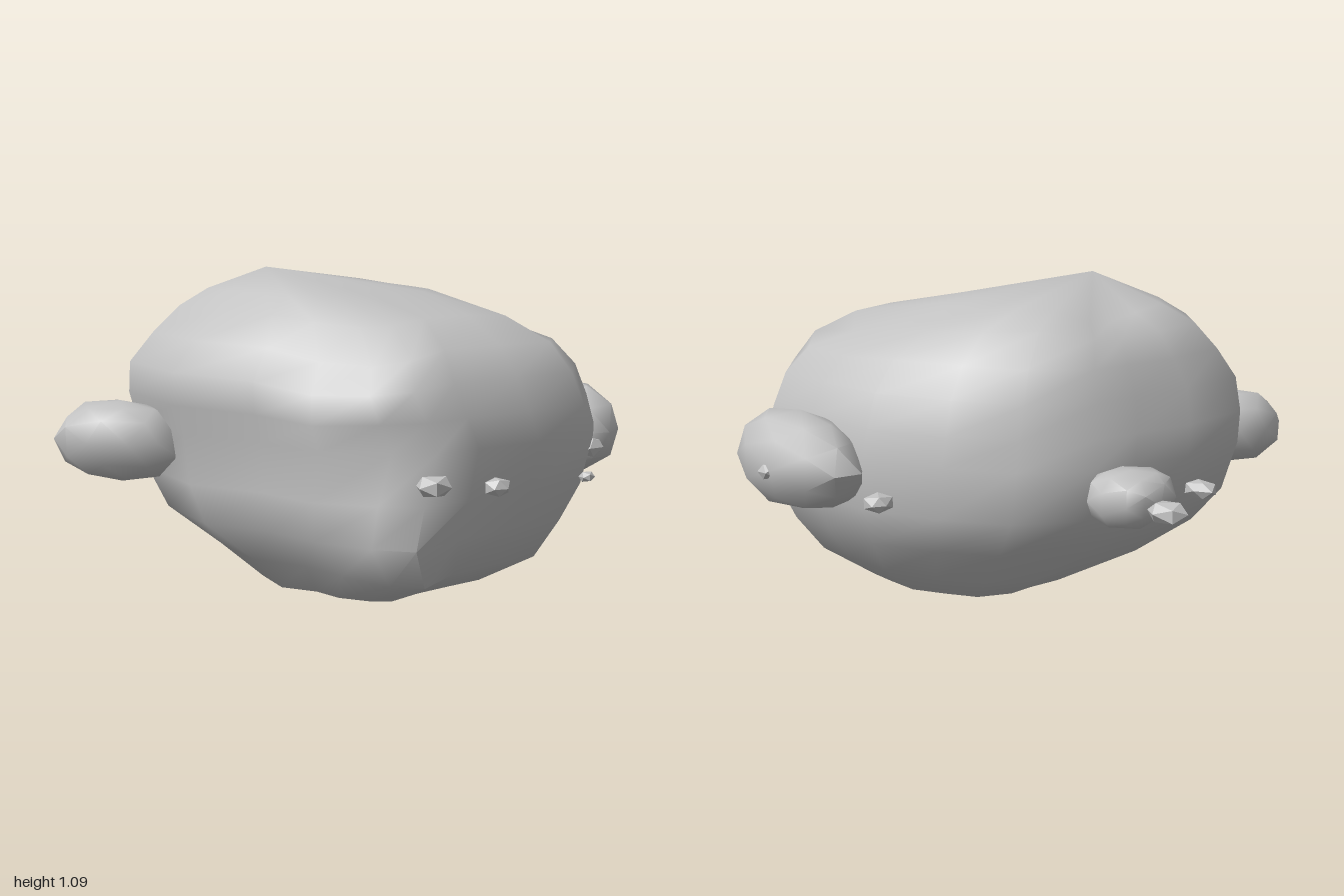
import * as THREE from 'three';
import { mergeVertices, toCreasedNormals } from 'three/addons/utils/BufferGeometryUtils.js';

const stone = new THREE.MeshStandardMaterial({ color: 0xc2c2c2 });
stone.name = 'grey stone';

// plan outline of the main rock as [x, z]
const OUTLINE = [
  [-0.58, -0.68], [-0.36, -0.83], [-0.08, -0.78], [0.12, -0.69], [0.29, -0.64], [0.46, -0.46],
  [0.52, -0.2], [0.57, 0.08], [0.52, 0.35], [0.47, 0.57], [0.24, 0.72], [0, 0.67],
  [-0.25, 0.61], [-0.46, 0.58], [-0.56, 0.46], [-0.64, 0.25], [-0.63, 0], [-0.7, -0.3],
];
// levels: y, min x, max x, min z, max z
const LEVELS = [
  [0.02, -0.42, 0.29, -0.3, 0.36], [0.12, -0.49, 0.41, -0.49, 0.54], [0.25, -0.62, 0.52, -0.67, 0.61],
  [0.38, -0.64, 0.57, -0.78, 0.67], [0.55, -0.65, 0.57, -0.83, 0.72], [0.65, -0.69, 0.55, -0.82, 0.7],
  [0.76, -0.7, 0.51, -0.79, 0.67], [0.86, -0.61, 0.44, -0.74, 0.6], [0.95, -0.5, 0.34, -0.68, 0.45],
  [1.01, -0.41, 0.22, -0.57, 0.14],
];
// dents and bumps: centre, radius, push
const DENTS = [
  [-0.5, 0.58, 0.5, 0.18, 0.08, 0, -0.02],
  [-0.5, 0.86, 0.36, 0.2, 0.08, -0.05, -0.05],
  [-0.62, 0.78, 0.16, 0.2, 0.06, -0.03, 0],
  [-0.38, 0.13, 0.46, 0.17, -0.09, 0, 0.11],
  [0.44, 0.6, -0.57, 0.17, -0.05, 0, 0.05],
  [0.36, 0.25, -0.5, 0.14, -0.04, 0.02, 0.04],
  [-0.18, 0.84, 0.58, 0.13, 0, 0, -0.04],
  [0.28, 0.95, 0.32, 0.17, 0, -0.05, 0],
  [0.02, 1.02, -0.5, 0.13, 0, -0.04, 0],
  [0.24, 0.98, -0.38, 0.14, 0.01, 0.03, 0],
];

function dent(p) {
  const q = p.clone();
  for (const [x, y, z, r, dx, dy, dz] of DENTS) {
    const w = Math.exp(-p.distanceToSquared(new THREE.Vector3(x, y, z)) / (r * r));
    q.add(new THREE.Vector3(dx, dy, dz).multiplyScalar(w));
  }
  return q;
}

// main rock: the outline fitted to each level, then closed at both ends
function mainRock() {
  const n = OUTLINE.length, pos = [], idx = [];
  for (const [y, x0, x1, z0, z1] of LEVELS) {
    for (const [x, z] of OUTLINE) {
      const p = new THREE.Vector3(
        x0 + (x + 0.7) / 1.27 * (x1 - x0), y, z0 + (z + 0.83) / 1.55 * (z1 - z0));
      pos.push(...dent(p).toArray());
    }
  }
  const bottom = LEVELS.length * n, top = bottom + 1;
  pos.push(-0.05, 0, 0, -0.28, 1.09, -0.28);
  for (let j = 0; j < n; j++) {
    const k = (j + 1) % n;
    for (let i = 0; i < LEVELS.length - 1; i++) {
      const a = i * n, b = a + n;
      idx.push(a + k, a + j, b + j, a + k, b + j, b + k);
    }
    const last = bottom - n;
    idx.push(bottom, j, k, top, last + k, last + j);
  }
  const g = new THREE.BufferGeometry();
  g.setAttribute('position', new THREE.Float32BufferAttribute(pos, 3));
  g.setIndex(idx);
  return toCreasedNormals(g, 1.1);
}

// loose stone: uneven ball fitted to its size, boxier the lower the power
function looseStone(size, detail, seed, power, crease) {
  let g = new THREE.IcosahedronGeometry(1, detail);
  g.deleteAttribute('normal');
  g.deleteAttribute('uv');
  g = mergeVertices(g, 1e-3);
  g.rotateY(seed * 1.7);
  const p = g.attributes.position;
  const boxy = (v) => Math.sign(v) * Math.pow(Math.abs(v), power);
  for (let i = 0; i < p.count; i++) {
    const s = 1 + 0.06 * Math.sin(i * 12.9 + seed * 7.3);
    p.setXYZ(i, boxy(p.getX(i)) * s, boxy(p.getY(i)) * s, boxy(p.getZ(i)) * s);
  }
  g.computeBoundingBox();
  const d = g.boundingBox.getSize(new THREE.Vector3());
  g.center();
  g.scale(size[0] / d.x, size[1] / d.y, size[2] / d.z);
  return toCreasedNormals(g, crease);
}

export function createModel() {
  const group = new THREE.Group();
  group.name = 'rockCluster';
  const add = (name, geometry, x, y, z, turn = 0) => {
    const m = new THREE.Mesh(geometry, stone);
    m.name = name;
    m.position.set(x, y, z);
    m.rotation.y = turn;
    group.add(m);
  };

  add('mainRock', mainRock(), 0, 0, 0);

  // boulders leaning on the main rock
  add('leftBoulder', looseStone([0.32, 0.34, 0.54], 1, 1, 0.95, 0.9), 0.57, 0.51, 0.33, -0.2);
  add('rightBoulder', looseStone([0.27, 0.28, 0.44], 1, 2, 0.9, 0.9), -0.69, 0.5, -0.59, 0.55);
  add('backBoulder', looseStone([0.27, 0.18, 0.25], 1, 3, 0.75, 0.9), 0.29, 0.49, -0.76);

  // pebbles: x, z, width, height, depth
  [
    [0.11, -0.91, 0.08, 0.05, 0.1], [0.39, -0.94, 0.1, 0.06, 0.13], [0.795, -0.16, 0.1, 0.05, 0.085],
    [-0.58, 0.73, 0.105, 0.06, 0.1], [-0.46, 0.875, 0.075, 0.05, 0.075], [-0.15, 0.975, 0.05, 0.03, 0.04],
    [0.29, 0.68, 0.09, 0.06, 0.09], [0.71, 0.36, 0.06, 0.05, 0.06],
  ].forEach(([x, z, w, h, d], i) => add('pebble', looseStone([w, h, d], 0, i + 4, 0.8, 0.3), x, 0.5, z));

  return group;
}
